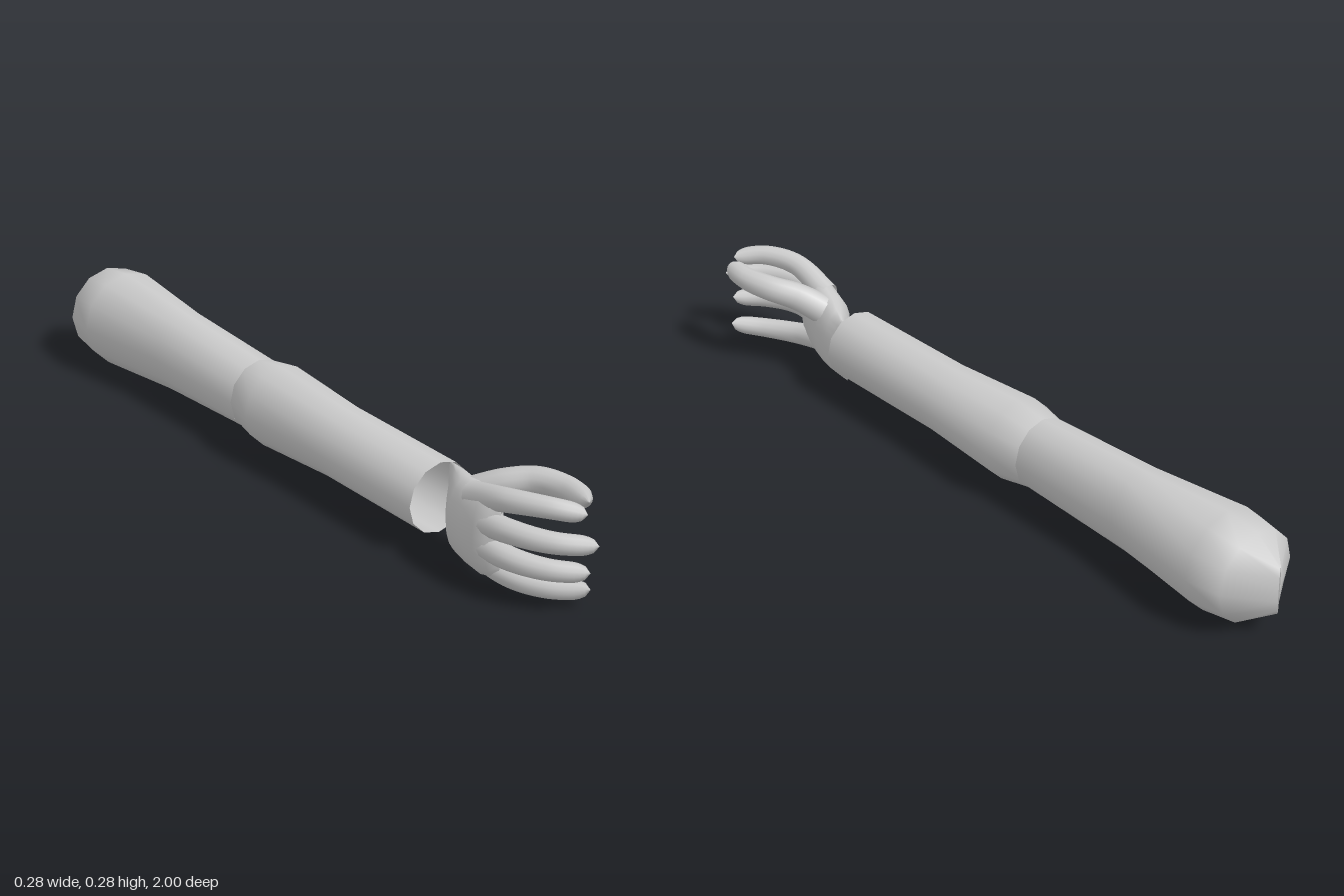
import * as THREE from 'three';

const material = new THREE.MeshStandardMaterial({ color: 0xcccccc, side: THREE.DoubleSide });

// Surface through elliptical rings [x, y, z, rx, ry], listed from back to front
function loft(name, rings, sides) {
  const pos = [], index = [];
  for (const [x, y, z, rx, ry] of rings) {
    for (let j = 0; j < sides; j++) {
      const a = (j / sides) * Math.PI * 2;
      pos.push(x + Math.cos(a) * rx, y + Math.sin(a) * ry, z);
    }
  }
  for (let i = 0; i < rings.length - 1; i++) {
    for (let j = 0; j < sides; j++) {
      const k = (j + 1) % sides;
      const a = i * sides + j, b = i * sides + k;
      index.push(a, b, b + sides, a, b + sides, a + sides);
    }
  }
  const geo = new THREE.BufferGeometry();
  geo.setAttribute('position', new THREE.Float32BufferAttribute(pos, 3));
  geo.setIndex(index);
  geo.computeVertexNormals();
  const mesh = new THREE.Mesh(geo, material);
  mesh.name = name;
  return mesh;
}

// Tapered digit with a rounded tip, swept along a smooth path
function digit(name, points, rBase, rTip) {
  const steps = 28, sides = 12;
  const curve = new THREE.CatmullRomCurve3(points.map((p) => new THREE.Vector3(...p)));
  const geo = new THREE.TubeGeometry(curve, steps, 1, sides, false);
  const p = geo.attributes.position, v = new THREE.Vector3();
  for (let i = 0; i <= steps; i++) {
    const t = i / steps;
    const c = curve.getPointAt(t);
    const round = t > 0.86 ? Math.sqrt(Math.max(0, 1 - ((t - 0.86) / 0.14) ** 2)) : 1;
    const r = (rBase + (rTip - rBase) * t) * round;
    for (let j = 0; j <= sides; j++) {
      const n = i * (sides + 1) + j;
      v.fromBufferAttribute(p, n).sub(c).multiplyScalar(r).add(c);
      p.setXYZ(n, v.x, v.y, v.z);
    }
  }
  const mesh = new THREE.Mesh(geo, material);
  mesh.name = name;
  return mesh;
}

export function createModel() {
  const arm = new THREE.Group();
  arm.name = 'arm';
  const X = -0.007, Y = 0.135;
  const limb = (name, rows) => loft(name, rows.map(([z, rx, ry]) => [X, Y, z, rx, ry]), 12);

  // Upper arm, its shoulder end closing to an upright edge
  arm.add(limb('upperArm', [
    [-1, 0.002, 0.065], [-0.925, 0.118, 0.118], [-0.83, 0.132, 0.131],
    [-0.55, 0.094, 0.112], [-0.21, 0.09, 0.095],
  ]));

  // Forearm, swelling near the elbow, open at the wrist
  arm.add(limb('forearm', [
    [-0.22, 0.088, 0.093], [-0.12, 0.109, 0.109], [0.14, 0.093, 0.093], [0.52, 0.092, 0.092],
  ]));

  // Hand
  const hand = new THREE.Group();
  hand.name = 'hand';
  hand.add(loft('palm', [
    [0.035, 0.13, 0.505, 0.004, 0.084], [0.028, 0.13, 0.53, 0.02, 0.087],
    [0.012, 0.13, 0.57, 0.043, 0.092], [-0.012, 0.132, 0.62, 0.06, 0.1],
    [-0.03, 0.137, 0.68, 0.056, 0.107], [-0.043, 0.142, 0.73, 0.044, 0.11],
    [-0.048, 0.143, 0.765, 0.03, 0.1], [-0.048, 0.143, 0.785, 0.002, 0.08],
  ], 20));

  const fingers = {
    indexFinger: [[-0.035, 0.212, 0.67], [-0.037, 0.25, 0.8], [0, 0.258, 0.89], [0.06, 0.247, 0.955]],
    middleFinger: [[-0.045, 0.165, 0.68], [-0.053, 0.185, 0.82], [-0.015, 0.187, 0.92], [0.062, 0.184, 0.995]],
    ringFinger: [[-0.045, 0.113, 0.68], [-0.053, 0.117, 0.82], [-0.015, 0.114, 0.91], [0.053, 0.112, 0.98]],
    littleFinger: [[-0.035, 0.075, 0.66], [-0.022, 0.05, 0.79], [0.018, 0.044, 0.88], [0.08, 0.05, 0.955]],
  };
  for (const [name, path] of Object.entries(fingers)) hand.add(digit(name, path, 0.033, 0.023));

  hand.add(digit('thumb', [
    [-0.005, 0.185, 0.62], [0.045, 0.225, 0.69], [0.09, 0.243, 0.75], [0.11, 0.248, 0.83], [0.1, 0.25, 0.915],
  ], 0.04, 0.027));
  arm.add(hand);
  return arm;
}
